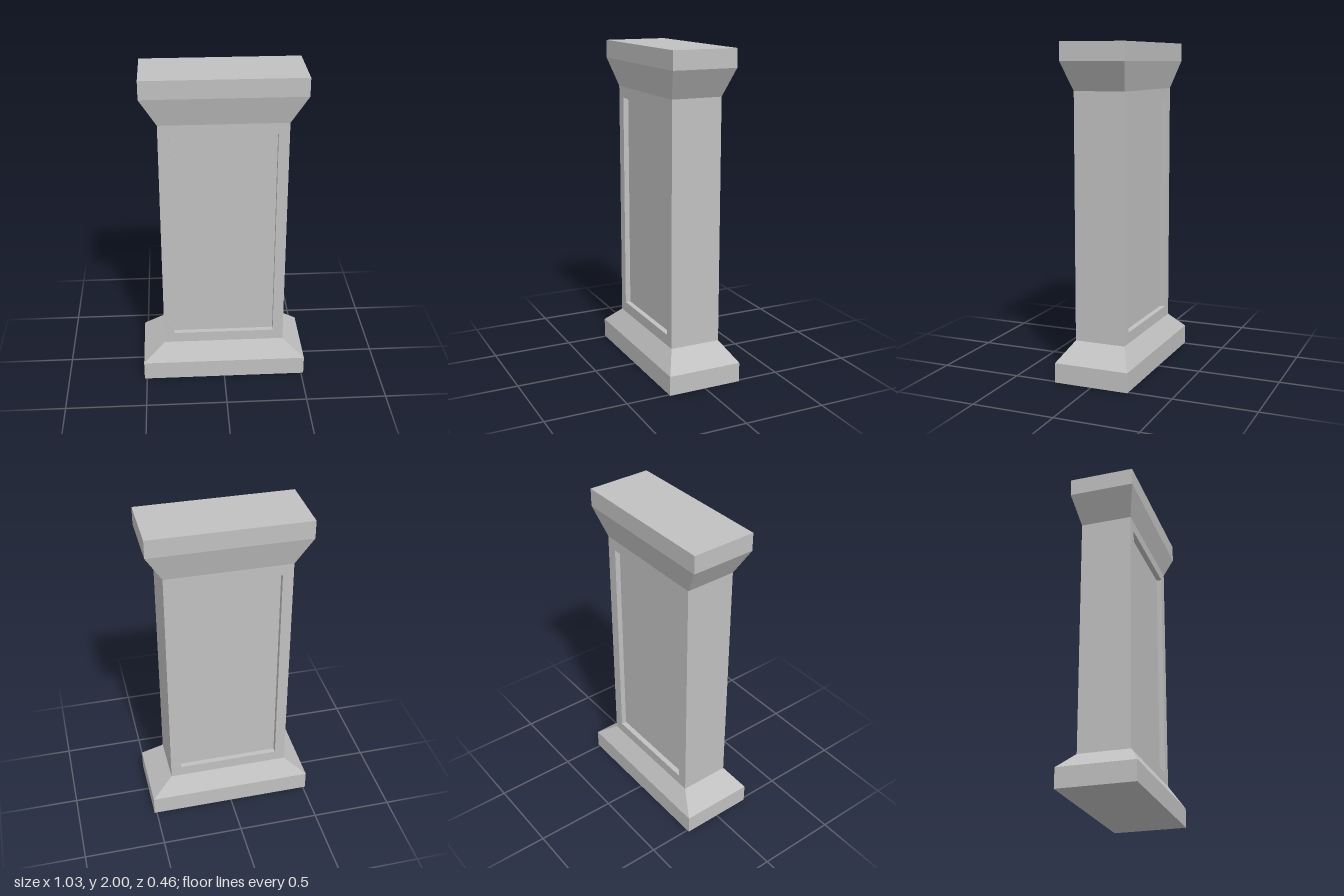
import * as THREE from 'three';

const stone = new THREE.MeshStandardMaterial({ color: 0xc0c0c0 });
stone.name = 'grey stone';

// Half widths (x) and half depths (z) of the main sections
const PLINTH = [0.515, 0.232], SHAFT = [0.38, 0.158], CAP = [0.48, 0.2];

// Four-sided block whose bottom and top rectangles may differ
function taperedBlock(name, bottom, top, y0, y1) {
  const geo = new THREE.BoxGeometry(2, y1 - y0, 2);
  geo.translate(0, (y0 + y1) / 2, 0);
  const p = geo.attributes.position;
  const mid = (y0 + y1) / 2;
  for (let i = 0; i < p.count; i++) {
    const [hx, hz] = p.getY(i) > mid ? top : bottom;
    p.setX(i, p.getX(i) * hx);
    p.setZ(i, p.getZ(i) * hz);
  }
  const flat = geo.toNonIndexed();
  flat.computeVertexNormals();
  const mesh = new THREE.Mesh(flat, stone);
  mesh.name = name;
  return mesh;
}

// Points of a rectangle centred on x = 0
function rectangle(hx, y0, y1) {
  return [[-hx, y0], [hx, y0], [hx, y1], [-hx, y1]].map(([x, y]) => new THREE.Vector2(x, y));
}

export function createModel() {
  const group = new THREE.Group();
  group.name = 'pedestal';

  // Base and capital
  group.add(
    taperedBlock('plinth', PLINTH, PLINTH, 0, 0.12),
    taperedBlock('baseSlope', PLINTH, SHAFT, 0.12, 0.23),
    taperedBlock('capitalFlare', SHAFT, CAP, 1.72, 1.89),
    taperedBlock('capSlab', CAP, CAP, 1.89, 2)
  );

  // Shaft with a rectangular opening through it
  const outline = new THREE.Shape(rectangle(SHAFT[0], 0.23, 1.72));
  outline.holes.push(new THREE.Path(rectangle(0.315, 0.297, 1.652)));
  const frame = new THREE.ExtrudeGeometry(outline, { depth: SHAFT[1] * 2, bevelEnabled: false });
  frame.translate(0, 0, -SHAFT[1]);
  const shaft = new THREE.Mesh(frame, stone);
  shaft.name = 'shaft';
  group.add(shaft);

  // Panel filling the opening, recessed on the front and the back
  const panelHalf = [0.315, SHAFT[1] - 0.033];
  group.add(taperedBlock('recessedPanel', panelHalf, panelHalf, 0.297, 1.652));

  return group;
}
